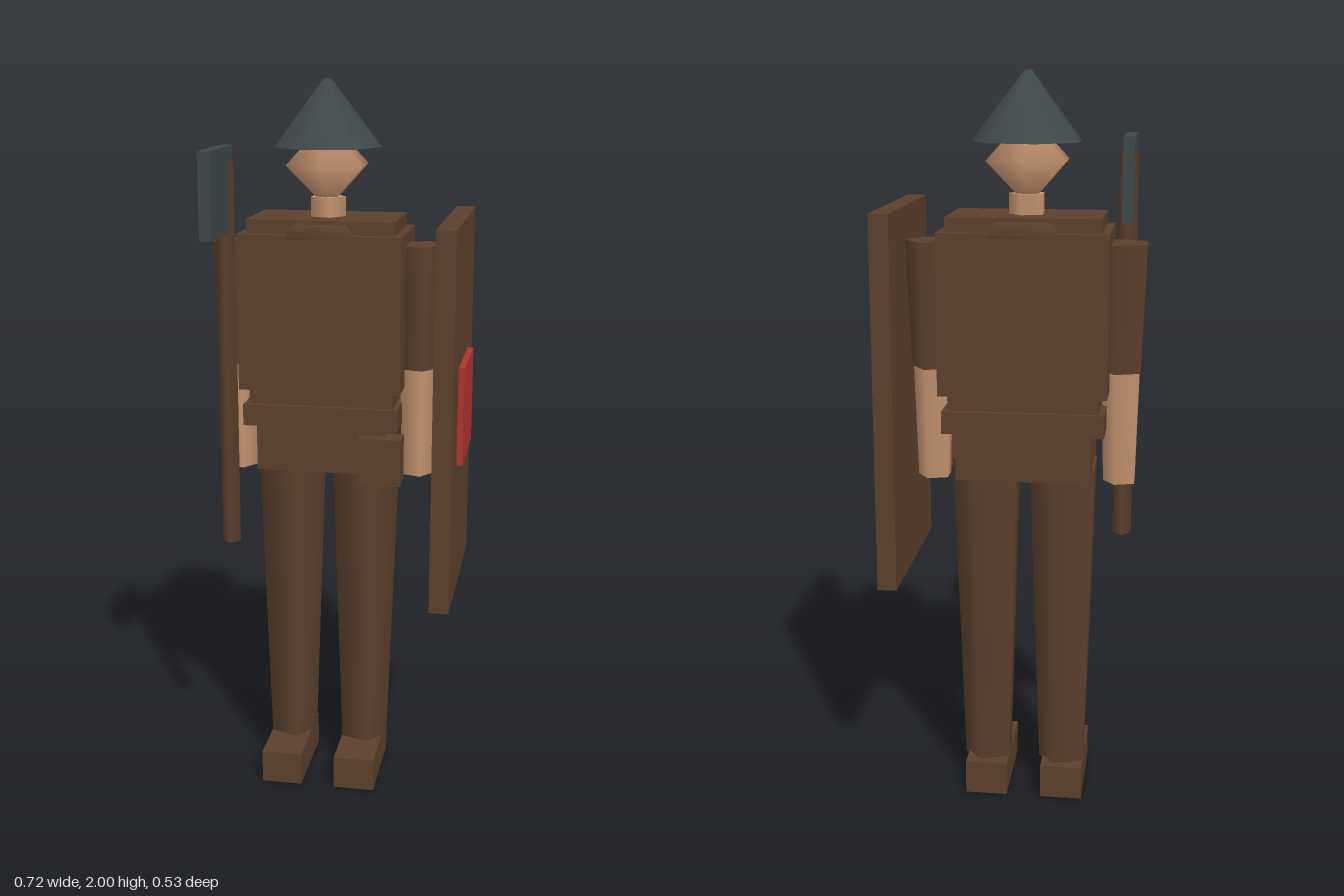
import * as THREE from 'three';

const CX = -0.045, CZ = -0.087; // body axis

const mat = (name, color) => {
  const m = new THREE.MeshStandardMaterial({ color });
  m.name = name;
  return m;
};

export function createModel() {
  const model = new THREE.Group();
  model.name = 'soldier';
  const brown = mat('brown leather', 0x5c402d);
  const skin = mat('skin', 0xc6946f);
  const steel = mat('dark steel', 0x3e4849);
  const red = mat('red paint', 0xb2332d);

  const add = (name, geometry, material, x, y, z) => {
    const mesh = new THREE.Mesh(geometry, material);
    mesh.name = name;
    mesh.position.set(x, y, z);
    model.add(mesh);
    return mesh;
  };
  // Box given by its minimum and maximum corners
  const box = (name, material, [x0, y0, z0], [x1, y1, z1]) =>
    add(name, new THREE.BoxGeometry(x1 - x0, y1 - y0, z1 - z0), material,
      (x0 + x1) / 2, (y0 + y1) / 2, (z0 + z1) / 2);
  // Box centred on the body axis
  const bodyBox = (name, halfW, halfD, y0, y1) =>
    box(name, brown, [CX - halfW, y0, CZ - halfD], [CX + halfW, y1, CZ + halfD]);
  // Few-sided tapered cylinder with one corner towards +x
  const prism = (name, material, sides, rTop, rBottom, y0, y1, x, z = CZ) =>
    add(name, new THREE.CylinderGeometry(rTop, rBottom, y1 - y0, sides, 1, false, Math.PI / 2),
      material, x, (y0 + y1) / 2, z);

  // Trunk
  bodyBox('hips', 0.18, 0.115, 0.94, 1.07);
  bodyBox('belt', 0.215, 0.13, 1.07, 1.13);
  bodyBox('waist', 0.2, 0.115, 1.13, 1.18);
  bodyBox('chest', 0.222, 0.144, 1.175, 1.6);
  bodyBox('shoulderPlate', 0.202, 0.116, 1.59, 1.637);
  box('pouch', brown, [0.066, 0.922, -0.005], [0.183, 1.053, 0.067]);

  // Six-sided collar ring
  add('collar', new THREE.TorusGeometry(0.136, 0.034, 4, 6), brown, CX, 1.592, CZ)
    .rotation.x = Math.PI / 2;

  // Head and helmet
  prism('neck', skin, 5, 0.05, 0.05, 1.62, 1.69, CX);
  add('head', new THREE.SphereGeometry(0.119, 6, 2), skin, CX, 1.775, CZ)
    .rotation.y = Math.PI / 2;
  prism('helmet', steel, 7, 0.01, 0.148, 1.822, 2, CX);

  // Limbs on both sides
  for (const [side, s] of [['left', 1], ['right', -1]]) {
    const arm = CX + s * 0.254, leg = CX + s * 0.106;
    prism(side + 'UpperArm', brown, 5, 0.074, 0.06, 1.225, 1.565, arm);
    prism(side + 'Forearm', skin, 5, 0.056, 0.047, 0.92, 1.225, arm);
    prism(side + 'Leg', brown, 5, 0.1, 0.07, 0.085, 0.97, leg);
    box(side + 'Foot', brown, [leg - 0.058, 0, -0.175], [leg + 0.058, 0.095, 0.093]);
  }

  // Axe
  prism('axeShaft', brown, 4, 0.026, 0.026, 0.728, 1.788, -0.3, 0.041);
  box('axeBlade', steel, [-0.316, 1.605, 0.01], [-0.285, 1.83, 0.243]);

  // Shield
  box('shield', brown, [0.29, 0.64, -0.264], [0.342, 1.65, 0.264]);
  box('shieldEmblem', red, [0.342, 1.012, -0.132], [0.358, 1.276, 0.132]);

  return model;
}
